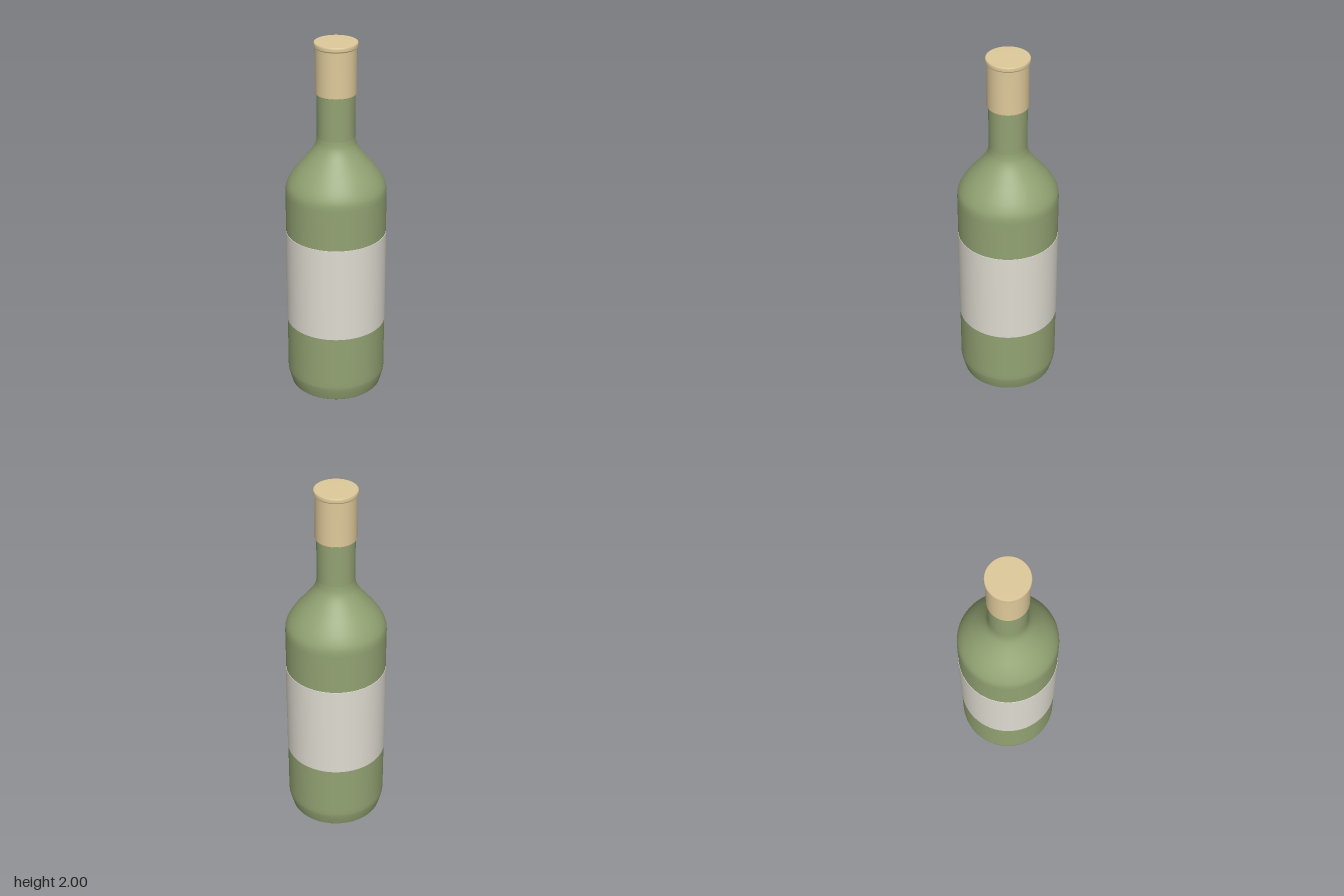
import * as THREE from 'three';

const glass = new THREE.MeshStandardMaterial({ color: 0x93a373 });
glass.name = 'greenGlass';
const paper = new THREE.MeshStandardMaterial({ color: 0xdfdcd1 });
paper.name = 'labelPaper';
const cork = new THREE.MeshStandardMaterial({ color: 0xdfca9b });
cork.name = 'tanCap';

// Turned part from [radius, height] pairs, listed bottom to top
function turned(name, profile, material) {
  const points = profile.map(([r, y]) => new THREE.Vector2(r, y));
  const mesh = new THREE.Mesh(new THREE.LatheGeometry(points, 72), material);
  mesh.name = name;
  return mesh;
}

export function createModel() {
  const group = new THREE.Group();
  group.name = 'bottle';

  // Shoulder curve easing from the body into the neck
  const shoulder = new THREE.SplineCurve([
    [0.271, 1.17], [0.266, 1.21], [0.245, 1.255], [0.21, 1.305],
    [0.165, 1.36], [0.128, 1.41], [0.108, 1.45], [0.101, 1.49],
  ].map(([r, y]) => new THREE.Vector2(r, y))).getPoints(28).map((p) => [p.x, p.y]);

  // Glass body: flat base, chamfered foot, straight wall, shoulder and neck
  group.add(turned('glassBody', [
    [0, 0], [0.247, 0], [0.251, 0.004], [0.262, 0.045], [0.269, 0.072], [0.271, 0.09],
    [0.271, 0.12], [0.271, 1.12],
    ...shoulder,
    [0.101, 1.52], [0.101, 1.76],
  ], glass));

  // Paper label wrapped all the way round
  group.add(turned('label', [
    [0.27, 0.4], [0.2728, 0.4], [0.273, 0.401], [0.273, 0.403],
    [0.273, 0.939], [0.273, 0.941], [0.2728, 0.942], [0.27, 0.942],
  ], paper));

  // Cap sleeve with a slightly wider lip
  group.add(turned('cap', [
    [0.1, 1.725], [0.1075, 1.725], [0.108, 1.727], [0.108, 1.73],
    [0.108, 1.97], [0.109, 1.974], [0.1135, 1.976], [0.1145, 1.979],
    [0.1145, 1.992], [0.113, 1.999], [0.11, 2], [0, 2],
  ], cork));

  return group;
}
